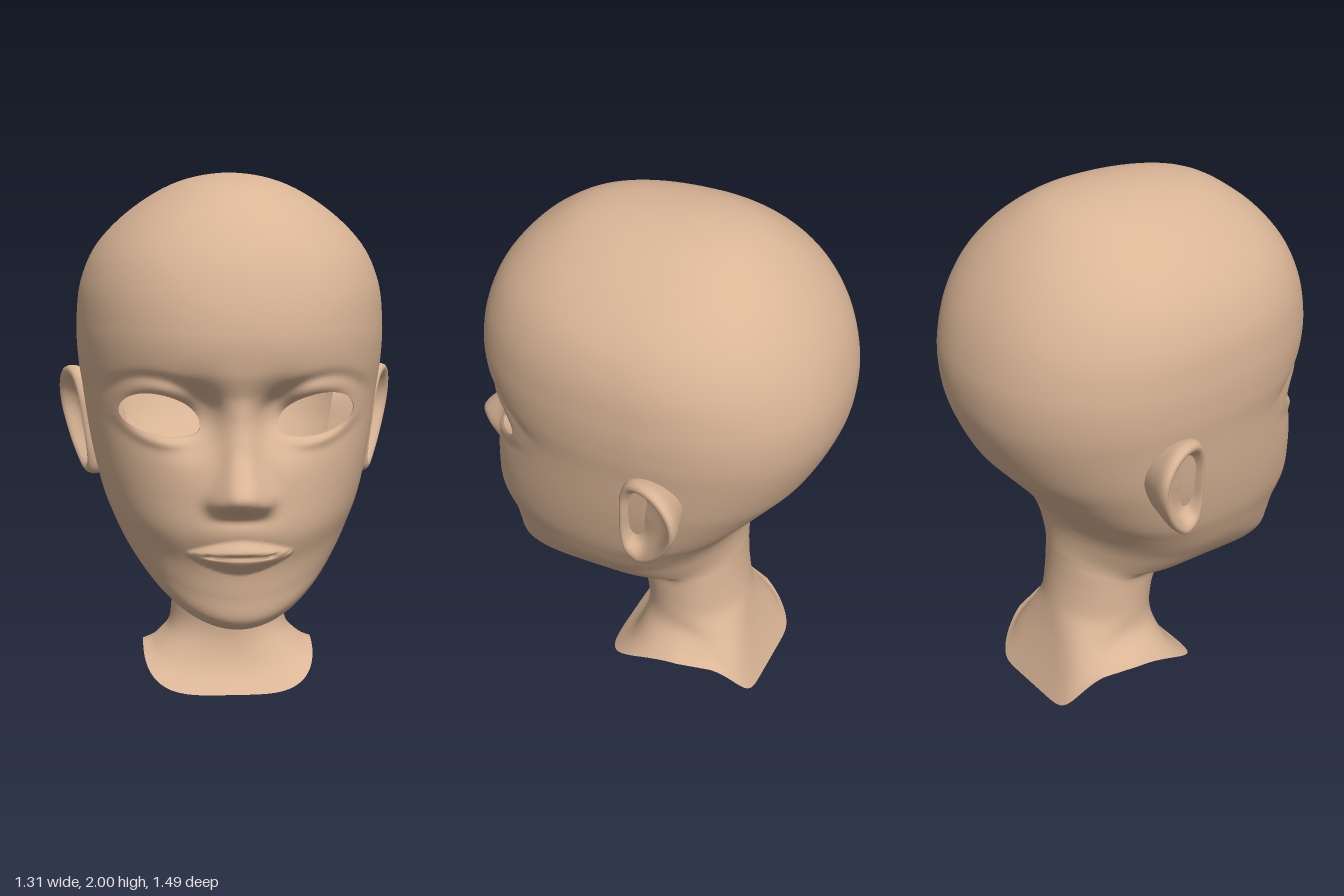
import * as THREE from 'three';

// Loops from neck to cheek: front z, front y, back z, back y, half width, side y, side z
const LOWER = [
  [0.10, 0.026, -0.51, 0.0, 0.335, 0.165, -0.27],
  [0.03, 0.10, -0.47, 0.10, 0.29, 0.185, -0.25],
  [0.0, 0.20, -0.43, 0.22, 0.235, 0.24, -0.22],
  [0.005, 0.30, -0.40, 0.35, 0.222, 0.32, -0.20],
  [0.03, 0.40, -0.385, 0.45, 0.22, 0.41, -0.19],
  [0.08, 0.45, -0.38, 0.53, 0.225, 0.48, -0.17],
  [0.22, 0.43, -0.38, 0.57, 0.25, 0.50, -0.10],
  [0.36, 0.41, -0.38, 0.61, 0.285, 0.515, -0.03],
  [0.48, 0.388, -0.382, 0.65, 0.33, 0.555, 0.02],
  [0.55, 0.43, -0.39, 0.70, 0.37, 0.605, 0.04],
  [0.565, 0.52, -0.41, 0.76, 0.41, 0.665, 0.03],
  [0.58, 0.62, -0.45, 0.82, 0.447, 0.74, 0.0],
  [0.62, 0.74, -0.50, 0.88, 0.48, 0.82, -0.04],
  [0.615, 0.88, -0.57, 0.96, 0.51, 0.93, -0.07],
];
// Level loops of the skull: front z, y, back z, half width, side z (last one lies past the crown)
const UPPER = [
  [0.60, 1.05, -0.642, 0.535, -0.10],
  [0.59, 1.20, -0.713, 0.557, -0.12],
  [0.622, 1.32, -0.74, 0.574, -0.13],
  [0.632, 1.45, -0.738, 0.578, -0.13],
  [0.60, 1.60, -0.697, 0.56, -0.12],
  [0.528, 1.74, -0.618, 0.495, -0.11],
  [0.40, 1.87, -0.50, 0.362, -0.10],
  [0.22, 1.967, -0.345, 0.19, -0.10],
  [-0.10, 2.0, -0.10, 0, -0.10],
  [-0.40, 1.967, 0.14, -0.19, -0.10],
];
const LOOPS = LOWER.concat(UPPER.map(([zf, y, zb, w, zc]) => [zf, y, zb, y, w, y, zc]));
// Nose height at even steps of 0.03 from y = 0.78
const NOSE = [0, 0.005, 0.05, 0.112, 0.131, 0.116, 0.09, 0.064, 0.042, 0.028, 0.02, 0.014, 0.01, 0.008, 0.004, 0];

const bell = (d, s) => Math.exp(-(d / s) * (d / s));
const smooth = THREE.MathUtils.smoothstep;

function spline(p0, p1, p2, p3, f) {
  return p1 + 0.5 * f * (p2 - p0 + f * (2 * p0 - 5 * p1 + 4 * p2 - p3 + f * (3 * (p1 - p2) + p3 - p0)));
}
function along(list, t, pick) {
  const n = list.length - 1;
  const i = Math.min(Math.max(Math.floor(t), 0), n - 1);
  const at = k => pick(list[Math.min(Math.max(k, 0), n)]);
  return spline(at(i - 1), at(i), at(i + 1), at(i + 2), t - i);
}

// Position relative to the eye opening: r = 1 is its edge, lid is a softer measure for the lids
function eye(x, y) {
  const u = (Math.abs(x) - 0.277) / 0.142;
  const d = y - (1.142 + 0.022 * THREE.MathUtils.clamp(u, -1, 1));
  return {
    r: Math.hypot(u, d / (d > 0 ? 0.093 : 0.054)),
    lid: Math.hypot(u, d / (d > 0 ? 0.108 : 0.075)),
    d,
  };
}

// Relief of the face, added along z
function relief(x, y) {
  const ax = Math.abs(x);
  let dz = 0;
  // nose and its wings
  if (y > 0.78 && y < 1.23) {
    const wide = 0.055 + 0.04 * (1 - smooth(y, 0.86, 1.03));
    dz += along(NOSE, (y - 0.78) / 0.03, h => h) * Math.exp(-Math.pow(ax / wide, 2.8));
  }
  dz += 0.014 * bell(ax - 0.088, 0.03) * bell(y - 0.868, 0.035);
  // lips
  const f = Math.max(0, 1 - Math.pow(ax / 0.185, 1.7));
  if (f > 0) {
    const d = y - 0.682;
    const t = d > 0 ? d / (0.008 + 0.048 * f) : -d / (0.008 + 0.066 * f);
    if (t < 1) dz += 0.044 * Math.sqrt(f) * Math.sin(Math.PI * Math.pow(t, 0.45));
    dz += 0.012 * f * bell(y - 0.77, 0.05);
  }
  // eye sockets, lids and brow
  dz -= 0.105 * bell(ax - 0.155, 0.088) * bell(y - 1.15, 0.1);
  dz -= 0.03 * bell(ax - 0.31, 0.12) * bell(y - 1.17, 0.1);
  const e = eye(x, y);
  dz += 0.016 * bell(e.lid - 0.98, 0.27);
  dz -= 0.009 * smooth(e.d, 0.02, 0.1) * bell(e.lid - 1.4, 0.2);
  return dz;
}

const COLS = 200;
function headPoint(t, j) {
  const [zf, yf, zb, yb, w, ys, zc] = LOOPS[0].map((_, k) => along(LOOPS, t, row => row[k]));
  const s = (j / COLS) * Math.PI * 2;
  const a = s - 0.45 * Math.sin(s);
  const c = Math.cos(a), front = c > 0, sn = Math.sin(a);
  // squarer at the neck rim, whose back edge also tapers
  const rim = 1 - smooth(t, 0, 3);
  const n = front ? 2 + 2 * rim + 0.2 * smooth(t, 10, 14) : 2 + 6 * rim + 0.17 * smooth(t, 9, 13);
  const k = Math.pow(Math.abs(c), 2 / n);
  const taper = front ? 1 : 1 - 0.3 * rim * k;
  const x = w * taper * Math.sign(sn) * Math.pow(Math.abs(sn), 2 / n);
  const y = ys + ((front ? yf : yb) - ys) * Math.pow(k, front ? 2 : 2.5);
  let z = zc + ((front ? zf : zb) - zc) * k;
  if (c > 0.1 && t > 8) z += relief(x, y) * smooth(c, 0.1, 0.3);
  return [x, y, z];
}

function surface(name, positions, index, material) {
  const g = new THREE.BufferGeometry();
  g.setAttribute('position', new THREE.Float32BufferAttribute(positions, 3));
  g.setIndex(index);
  g.computeVertexNormals();
  const mesh = new THREE.Mesh(g, material);
  mesh.name = name;
  return mesh;
}

function buildHead(group, skin) {
  // rows are closer together over the face
  const rows = [];
  const last = LOOPS.length - 2;
  for (let i = 0; i < last; i++) {
    const steps = i >= 8 && i < 17 ? 16 : 6;
    for (let k = 0; k < steps; k++) rows.push(i + k / steps);
  }
  rows.push(last);
  const grid = rows.map(t => Array.from({ length: COLS }, (_, j) => headPoint(t, j)));
  const inside = (p, j) => (j < COLS / 4 || j > COLS * 0.75) && p[2] > 0.2 && eye(p[0], p[1]).r < 1;
  const hole = grid.map(r => r.map((p, j) => inside(p, j)));

  // slide the corners just inside each eye opening onto its edge
  const around = [[1, 0], [-1, 0], [0, 1], [0, -1], [1, 1], [-1, -1], [1, -1], [-1, 1]];
  const points = grid.map((r, i) => r.map((p, j) => {
    if (!hole[i][j]) return p;
    const step = around.find(([a, b]) => !hole[i + a][(j + b + COLS) % COLS]);
    if (!step) return p;
    let lo = 0, hi = 1, q = p;
    for (let k = 0; k < 12; k++) {
      const m = (lo + hi) / 2;
      q = headPoint(rows[i] + (rows[i + step[0]] - rows[i]) * m, j + step[1] * m);
      if (eye(q[0], q[1]).r < 1) lo = m; else hi = m;
    }
    return q;
  }));

  const flat = points.flat(), open = hole.flat();
  const index = [], cut = new Set();
  const edges = t => [[t[0], t[1]], [t[1], t[2]], [t[2], t[0]]];
  for (let i = 0; i < rows.length - 1; i++) {
    for (let j = 0; j < COLS; j++) {
      const a = i * COLS + j, b = i * COLS + (j + 1) % COLS, c = a + COLS, d = b + COLS;
      for (const t of [[a, b, d], [a, d, c]]) {
        if (t.every(k => open[k])) edges(t).forEach(([p, q]) => cut.add(p + '_' + q));
        else index.push(...t);
      }
    }
  }
  group.add(surface('headAndNeck', flat.flat(), index, skin));

  // thickness of the eyelids around each opening
  const lidPos = [], lidIndex = [];
  for (let k = 0; k < index.length; k += 3) {
    for (const [p, q] of edges(index.slice(k, k + 3))) {
      if (!cut.has(q + '_' + p)) continue;
      const n = lidPos.length / 3;
      for (const [v, depth] of [[p, 0], [q, 0], [p, 0.022], [q, 0.022]]) {
        lidPos.push(flat[v][0], flat[v][1], flat[v][2] - depth);
      }
      lidIndex.push(n + 1, n, n + 2, n + 1, n + 2, n + 3);
    }
  }
  group.add(surface('eyelidEdges', lidPos, lidIndex, skin));
}

// Ear: rings shrinking from the root behind, over the rim, into the bowl
function buildEar(side, name, skin) {
  const outline = new THREE.CatmullRomCurve3([
    [-0.125, 0.862], [-0.18, 0.848], [-0.26, 0.91], [-0.325, 1.0], [-0.366, 1.1], [-0.358, 1.18],
    [-0.31, 1.24], [-0.24, 1.262], [-0.165, 1.24], [-0.125, 1.17], [-0.11, 1.05], [-0.105, 0.93],
  ].map(([z, y]) => new THREE.Vector3(0, y, z)), true);
  const rings = [[0.76, -0.16], [0.88, -0.09], [0.965, -0.05], [0.998, -0.025], [1, -0.008], [0.97, 0.007], [0.92, 0.014],
    [0.86, 0.013], [0.8, 0.004], [0.74, -0.012], [0.67, -0.03], [0.55, -0.046], [0.35, -0.05], [0.001, -0.045]];
  const N = 64, pos = [], index = [];
  const rim = Array.from({ length: N }, (_, j) => outline.getPoint(j / N));
  rings.forEach(([s, out], i) => rim.forEach((p, j) => {
    const z = -0.22 + (p.z + 0.22) * s, y = 1.06 + (p.y - 1.06) * s;
    pos.push(side * (0.52 + 0.36 * (-0.1 - z) + 0.12 * (y - 0.9) + out), y, z);
    if (i === 0) return;
    const a = (i - 1) * N + j, b = (i - 1) * N + (j + 1) % N, c = a + N, d = b + N;
    if (side > 0) index.push(a, b, d, a, d, c);
    else index.push(a, d, b, a, c, d);
  }));
  return surface(name, pos, index, skin);
}

export function createModel() {
  const group = new THREE.Group();
  group.name = 'head';
  const skin = new THREE.MeshStandardMaterial({ color: 0xdab596, side: THREE.DoubleSide });
  skin.name = 'skin';
  buildHead(group, skin);
  group.add(buildEar(1, 'leftEar', skin), buildEar(-1, 'rightEar', skin));
  return group;
}
